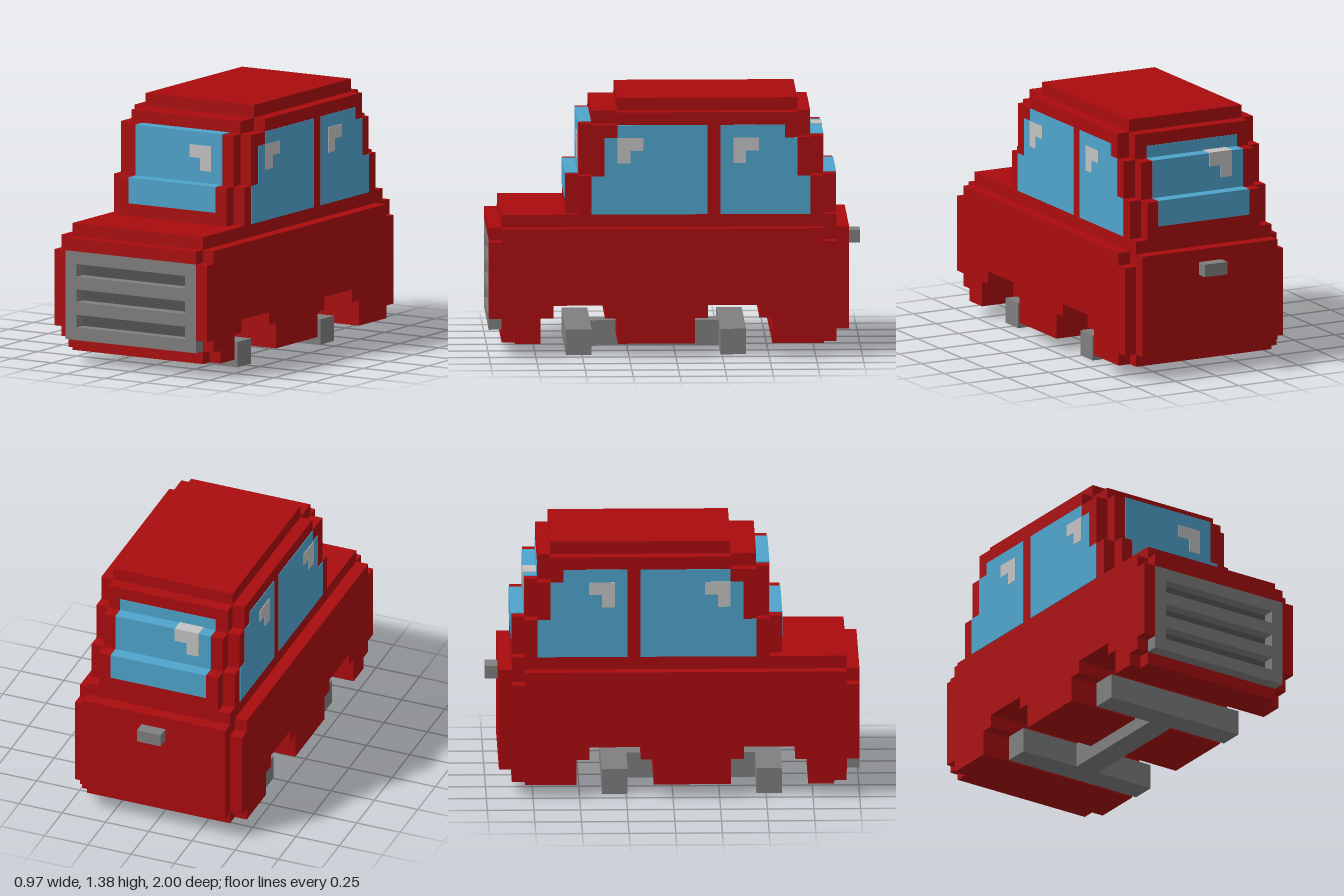
import * as THREE from 'three';

const U = 2 / 29; // one block; all sizes below are in blocks

const mat = (name, color) => {
  const m = new THREE.MeshStandardMaterial({ color });
  m.name = name;
  return m;
};

export function createModel() {
  const red = mat('red paint', 0xaa0c0e);
  const blue = mat('blue glass', 0x4fa4cc);
  const grey = mat('grey metal', 0x807e7e);
  const dark = mat('dark grey', 0x525252);
  const pale = mat('pale glint', 0xc2c2c2);

  const car = new THREE.Group();
  car.name = 'car';
  const model = new THREE.Group();
  model.name = 'blockCar';
  model.scale.setScalar(U);
  car.add(model);

  const add = (name, geometry, material) => {
    const mesh = new THREE.Mesh(geometry, material);
    mesh.name = name;
    model.add(mesh);
  };
  const box = (name, material, x0, x1, y0, y1, z0, z1) => {
    const g = new THREE.BoxGeometry(x1 - x0, y1 - y0, z1 - z0);
    g.translate((x0 + x1) / 2, (y0 + y1) / 2, (z0 + z1) / 2);
    add(name, g, material);
  };
  // Side outline of [z, y] points, extruded from x0 to x1
  const prism = (name, material, x0, x1, points) => {
    const shape = new THREE.Shape(points.map(([z, y]) => new THREE.Vector2(z, y)));
    const g = new THREE.ExtrudeGeometry(shape, { depth: x1 - x0, bevelEnabled: false });
    g.rotateY(-Math.PI / 2).translate(x1, 0, 0);
    add(name, g, material);
  };
  // Same, on both sides of the car
  const prismPair = (name, material, x0, x1, points) => {
    prism(name + 'Left', material, x0, x1, points);
    prism(name + 'Right', material, -x1, -x0, points);
  };

  // Stepped wheel arches along the underside, front to back
  const arch = (z) => [[z, 1], [z, 3], [z - 1, 3], [z - 1, 4], [z - 5, 4], [z - 5, 3], [z - 6, 3], [z - 6, 1]];
  const arches = [...arch(10.5), ...arch(-1.5)];

  // Lower body: central core and a thinner flank on each side
  prism('bodyCore', red, -6, 6, [
    [13.5, 1], ...arches, [-12.5, 1], [-12.5, 2], [-13.5, 2], [-13.5, 10], [-12.5, 10], [-12.5, 11],
    [13.5, 11], [13.5, 10], [14.5, 10], [14.5, 9], [13.5, 9],
  ]);
  prismPair('bodyFlank', red, 6, 7, [
    [12.5, 1], ...arches, [-11.5, 1], [-11.5, 2], [-12.5, 2], [-12.5, 9], [-11.5, 9], [-11.5, 10],
    [13.5, 10], [13.5, 9], [14.5, 9], [14.5, 3], [13.5, 3], [13.5, 2], [12.5, 2],
  ]);

  // Cabin: wide shell, and a narrower one that reaches one block further
  prism('cabinSides', red, -6, 6, [
    [7.5, 11], [7.5, 14], [6.5, 14], [6.5, 18], [4.5, 18], [4.5, 19],
    [-9.5, 19], [-9.5, 17], [-10.5, 17], [-10.5, 14], [-11.5, 14], [-11.5, 11],
  ]);
  prism('cabinRoof', red, -5, 5, [
    [8.5, 11], [8.5, 14], [7.5, 14], [7.5, 18], [6.5, 18], [6.5, 19], [4.5, 19], [4.5, 20],
    [-9.5, 20], [-9.5, 19], [-10.5, 19], [-10.5, 17], [-11.5, 17], [-11.5, 14], [-12.5, 14], [-12.5, 11],
  ]);

  // Windscreen and rear window follow the steps of the cabin
  const t = 0.05;
  prism('windscreen', blue, -4, 4, [
    [8.5 + t, 12], [8.5 + t, 14 + t], [7.5 + t, 14 + t], [7.5 + t, 18 + t], [6.5, 18 + t], [6.5, 12],
  ]);
  prism('rearWindow', blue, -4, 4, [
    [-12.5 - t, 12], [-12.5 - t, 14 + t], [-11.5 - t, 14 + t], [-11.5 - t, 17 + t],
    [-10.5 - t, 17 + t], [-10.5 - t, 18], [-10, 18], [-10, 12],
  ]);

  // Side windows
  prismPair('frontSideWindow', blue, 6, 6 + t, [
    [6.5, 11], [6.5, 14], [5.5, 14], [5.5, 17], [4.5, 17], [4.5, 18], [-2.5, 18], [-2.5, 11],
  ]);
  prismPair('rearSideWindow', blue, 6, 6 + t, [
    [-3.5, 11], [-3.5, 18], [-8.5, 18], [-8.5, 17], [-9.5, 17], [-9.5, 14], [-10.5, 14], [-10.5, 11],
  ]);

  // Glints on the glass
  for (const z of [4.5, -4.5]) {
    prismPair('sideGlint', pale, 6 + t, 6 + 2 * t, [
      [z, 17], [z - 2, 17], [z - 2, 16], [z - 1, 16], [z - 1, 15], [z, 15],
    ]);
  }
  box('windscreenGlint', pale, 1, 3, 16, 17, 7.5, 7.5 + 2 * t);
  box('windscreenGlintTail', pale, 2, 3, 15, 16, 7.5, 7.5 + 2 * t);
  box('rearGlint', pale, -3, -1, 16, 17 + 2 * t, -11.5 - 2 * t, -10.5 - t);
  box('rearGlintTail', pale, -3, -2, 15, 16, -11.5 - 2 * t, -11.5);

  // Grille with three slots over a dark backing
  const rect = (C, x, y0, y1) => new C([[-x, y0], [x, y0], [x, y1], [-x, y1]].map((p) => new THREE.Vector2(...p)));
  const grille = rect(THREE.Shape, 6, 2, 9);
  for (const y of [3, 5, 7]) grille.holes.push(rect(THREE.Path, 5, y, y + 1));
  const grilleGeometry = new THREE.ExtrudeGeometry(grille, { depth: 1, bevelEnabled: false });
  add('grille', grilleGeometry.translate(0, 0, 13.5), grey);
  box('grilleBacking', dark, -5.5, 5.5, 2.5, 8.5, 13.45, 13.55);

  // Rear handle
  box('rearHandle', grey, -1, 1, 8, 9, -14.5, -13.5);

  // Chassis: two axles joined by a spine
  box('frontAxle', grey, -6, 6, 0, 2, 6.5, 8.5);
  box('rearAxle', grey, -6, 6, 0, 2, -5.5, -3.5);
  box('chassisSpine', grey, -1, 1, 0, 2, -3.5, 6.5);

  return car;
}
